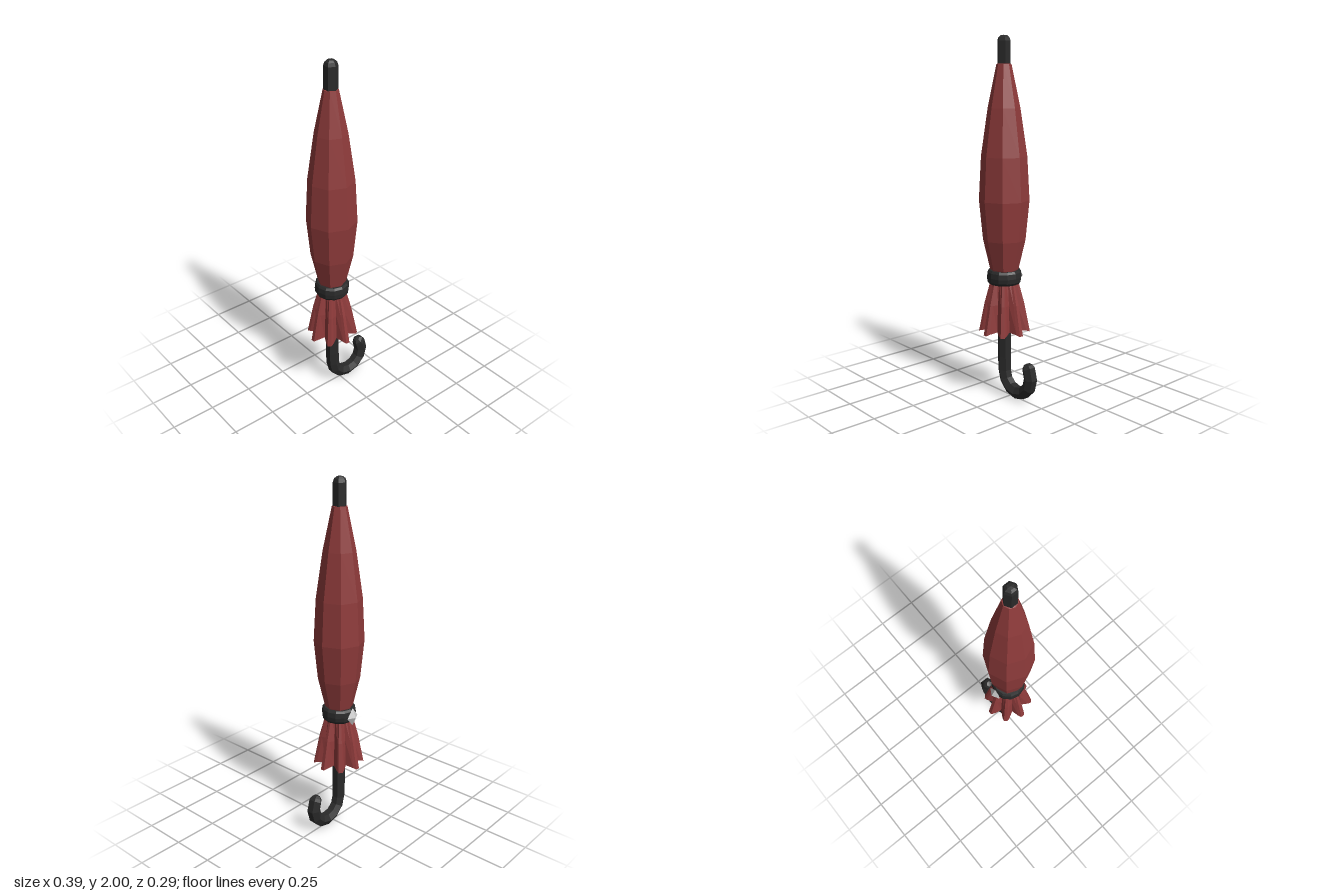
import * as THREE from 'three';

const CX = -0.057; // axis of the umbrella

const red = new THREE.MeshStandardMaterial({ color: 0x8f3b3b, side: THREE.DoubleSide });
red.name = 'red fabric';
const black = new THREE.MeshStandardMaterial({ color: 0x2a2a2a });
black.name = 'black plastic';
const silver = new THREE.MeshStandardMaterial({ color: 0xc8c8c8 });
silver.name = 'silver metal';

// Faceted mesh with one normal per face
function facetedMesh(name, geometry, material) {
  const flat = geometry.index ? geometry.toNonIndexed() : geometry;
  flat.computeVertexNormals();
  const mesh = new THREE.Mesh(flat, material);
  mesh.name = name;
  return mesh;
}

function lathe(profile, sides) {
  return new THREE.LatheGeometry(profile.map(([r, y]) => new THREE.Vector2(r, y)), sides);
}

// Joins closed rings that all have the same number of points
function loft(rings) {
  const n = rings[0].length;
  const index = [];
  for (let i = 0; i < rings.length - 1; i++) {
    for (let j = 0; j < n; j++) {
      const a = i * n + j, b = i * n + (j + 1) % n;
      index.push(a, a + n, b, b, a + n, b + n);
    }
  }
  const geometry = new THREE.BufferGeometry().setFromPoints(rings.flat());
  geometry.setIndex(index);
  return geometry;
}

// Skirt ring: eight narrow ribs with deep folds between them
function skirtRing(y, r, ribScale, fold, lift) {
  const ring = [];
  for (let k = 0; k < 8; k++) {
    const a = k * Math.PI / 4;
    const put = (radius, side, angle, dy = 0) => ring.push(new THREE.Vector3(
      radius * Math.cos(angle) - side * Math.sin(angle), y + dy,
      radius * Math.sin(angle) + side * Math.cos(angle)));
    put(r * 0.89, -0.021 * ribScale, a, lift * 0.5);
    put(r, -0.011 * ribScale, a);
    put(r, 0.011 * ribScale, a);
    put(r * 0.89, 0.021 * ribScale, a, lift * 0.5);
    put(r * fold, 0, a + Math.PI / 8, lift);
  }
  return ring;
}

// Hexagonal ring around a point of the handle; n points away from the bend
function hexRing(x, y, nx, ny, r) {
  return Array.from({ length: 6 }, (_, k) => {
    const a = Math.PI / 6 + k * Math.PI / 3;
    return new THREE.Vector3(x + nx * r * Math.cos(a), y + ny * r * Math.cos(a), r * Math.sin(a));
  });
}

function handleGeometry() {
  const R = 0.108, r = 0.038, bx = 0.11, by = 0.143;
  const rings = [hexRing(0, 0.72, -1, 0, r), hexRing(0, 0.22, -1, 0, r)];
  for (let deg = 180; deg <= 390; deg += 30) {
    const a = deg * Math.PI / 180;
    rings.push(hexRing(bx + R * Math.cos(a), by + R * Math.sin(a), Math.cos(a), Math.sin(a), r));
  }
  // Rounded tip
  const c = Math.cos(Math.PI / 6), s = Math.sin(Math.PI / 6);
  for (const [d, tip] of [[0.018, 0.032], [0.032, 0.018], [0.035, 0]]) {
    rings.push(hexRing(bx + R * c - s * d, by + R * s + c * d, c, s, tip));
  }
  return loft(rings);
}

export function createModel() {
  const umbrella = new THREE.Group();
  umbrella.name = 'closedUmbrella';
  umbrella.position.x = CX;

  // Furled canopy above the band
  umbrella.add(facetedMesh('canopy', lathe([
    [0.066, 0.69], [0.08, 0.735], [0.118, 0.9], [0.139, 1.12],
    [0.126, 1.36], [0.088, 1.62], [0.04, 1.85], [0.02, 1.855],
  ], 8), red));

  // Pleated skirt below the band
  umbrella.add(facetedMesh('skirt', loft([
    skirtRing(0.69, 0.07, 0.5, 0.85, 0),
    skirtRing(0.54, 0.11, 0.8, 0.72, 0),
    skirtRing(0.372, 0.143, 1, 0.62, 0.015),
  ]), red));

  // Tip above the canopy
  umbrella.add(facetedMesh('ferrule', lathe([
    [0.037, 1.8], [0.037, 1.97], [0.031, 1.988], [0.018, 1.998], [0, 2],
  ], 6), black));

  umbrella.add(facetedMesh('hookHandle', handleGeometry(), black));

  // Closing strap and its button at the back
  umbrella.add(facetedMesh('strap', lathe([
    [0.06, 0.652], [0.086, 0.652], [0.095, 0.665], [0.098, 0.69],
    [0.095, 0.718], [0.086, 0.73], [0.06, 0.73],
  ], 12), black));
  const button = facetedMesh('strapButton', new THREE.OctahedronGeometry(1), silver);
  button.scale.set(0.043, 0.053, 0.024);
  button.position.set(0, 0.688, -0.1);
  umbrella.add(button);

  const model = new THREE.Group();
  model.name = 'umbrellaModel';
  model.add(umbrella);
  return model;
}
